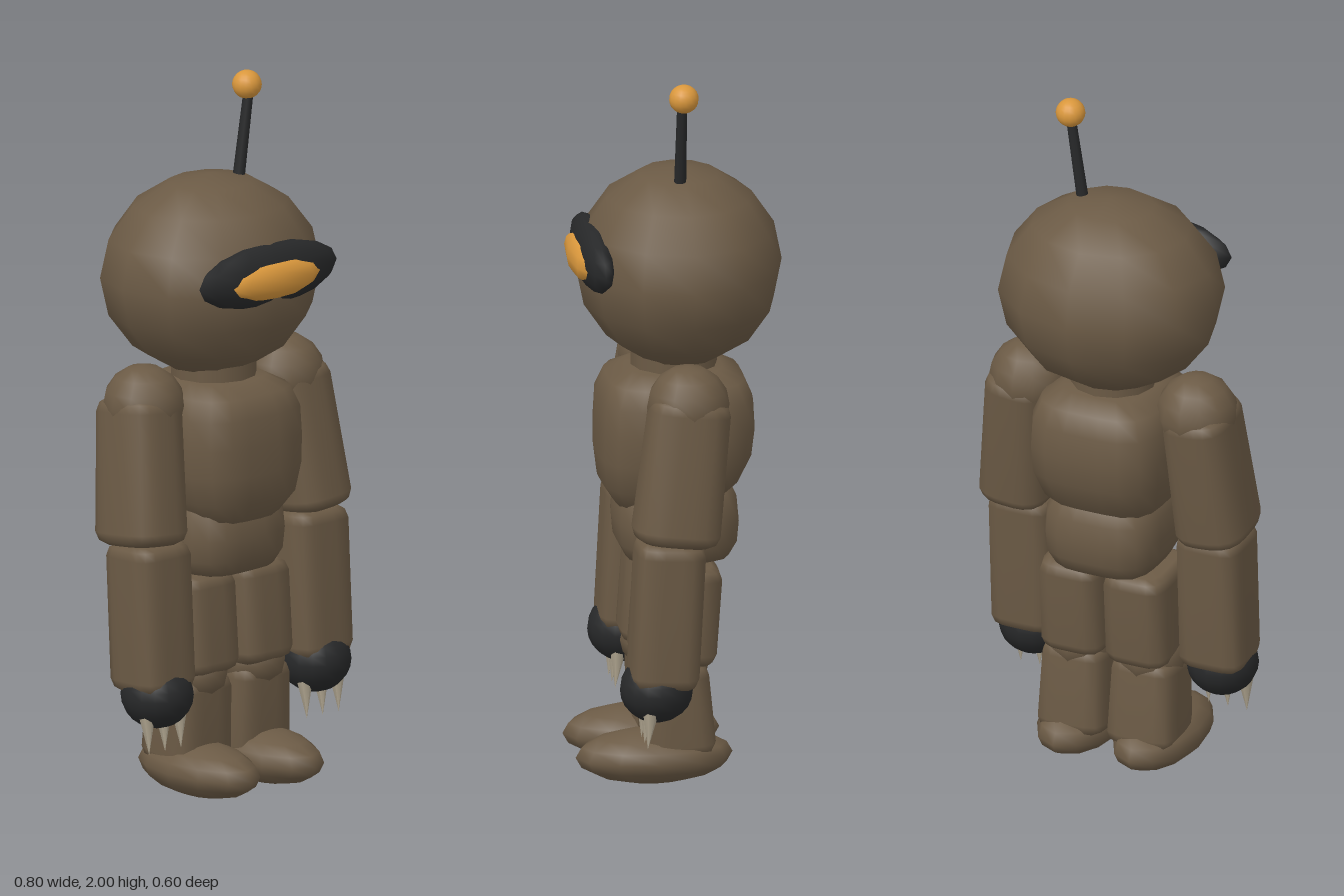
import * as THREE from 'three';
import { mergeVertices } from 'three/addons/utils/BufferGeometryUtils.js';

const mat = (name, color) => {
  const m = new THREE.MeshStandardMaterial({ color });
  m.name = name;
  return m;
};

// Turned profile whose round plan is squared off: power 2 is round, higher is boxier
function block(points, power, rx, rz, lean = () => 0) {
  const lathe = new THREE.LatheGeometry(points.map(([r, y]) => new THREE.Vector2(r, y)), 24);
  lathe.deleteAttribute('uv');
  lathe.deleteAttribute('normal');
  const p = lathe.attributes.position;
  for (let i = 0; i < p.count; i++) {
    const x = p.getX(i), y = p.getY(i), z = p.getZ(i);
    const a = Math.atan2(z, x);
    const f = (Math.abs(Math.cos(a)) ** power + Math.abs(Math.sin(a)) ** power) ** (-1 / power);
    p.setXYZ(i, x * f * rx, y, z * f * rz + lean(y));
  }
  const geometry = mergeVertices(lathe);
  geometry.computeVertexNormals();
  return geometry;
}

export function createModel() {
  const brown = mat('brown suit', 0x6b5a45);
  const black = mat('black rubber', 0x272829);
  const amber = mat('amber light', 0xd9973c);
  const bone = mat('bone claw', 0xb5aa94);
  const model = new THREE.Group();
  model.name = 'robot';

  const add = (name, geometry, material, x, y, z) => {
    const mesh = new THREE.Mesh(geometry, material);
    mesh.name = name;
    mesh.position.set(x, y, z);
    model.add(mesh);
    return mesh;
  };

  // Coarse smooth ellipsoid with its own radii
  const ellipsoid = (name, material, [x, y, z], [rx, ry, rz], sides = 12, rows = 8) =>
    add(name, new THREE.SphereGeometry(1, sides, rows).scale(rx, ry, rz), material, x, y, z);

  // Soft-edged limb running from top a to bottom b
  const limb = (name, a, b, rx, rz, power, topScale = 1) => {
    const top = new THREE.Vector3(...a), bottom = new THREE.Vector3(...b);
    const h = top.distanceTo(bottom) / 2, t = topScale;
    const geometry = block([[0, -h], [0.75, -h], [0.92, -h + 0.011], [1, -h + 0.035],
      [t, h - 0.035], [0.92 * t, h - 0.011], [0.75 * t, h], [0, h]], power, rx, rz);
    const mid = top.clone().add(bottom).multiplyScalar(0.5);
    const mesh = add(name, geometry, brown, mid.x, mid.y, mid.z);
    mesh.quaternion.setFromUnitVectors(new THREE.Vector3(0, 1, 0), top.sub(bottom).normalize());
  };

  // Head, visor and its light
  ellipsoid('head', brown, [0, 1.45, -0.014], [0.32, 0.28, 0.286]);
  ellipsoid('visor', black, [0, 1.49, 0.227], [0.25, 0.09, 0.052]);
  ellipsoid('visorLight', amber, [0, 1.483, 0.26], [0.165, 0.054, 0.037], 8, 6);

  // Antenna
  const stalk = add('antennaStalk', new THREE.CylinderGeometry(0.014, 0.017, 0.25, 8), black, 0.111, 1.82, -0.003);
  stalk.rotation.z = -0.15;
  ellipsoid('antennaBall', amber, [0.128, 1.96, -0.008], [0.041, 0.04, 0.041], 16, 12);

  // Neck
  add('neck', new THREE.CylinderGeometry(0.12, 0.12, 0.12, 12), brown, 0, 1.18, 0);

  // Chest, its lower end leaning forward, and belly
  add('chest', block([[0, 0.71], [0.2, 0.715], [0.4, 0.735], [0.66, 0.785], [0.87, 0.84], [0.98, 0.92],
    [1, 1], [0.98, 1.08], [0.87, 1.135], [0.6, 1.165], [0, 1.17]], 3.8, 0.199, 0.214,
    y => Math.max(0, 0.95 - y) * 0.18), brown, 0, 0, 0);
  add('belly', block([[0, 0.61], [0.6, 0.612], [0.84, 0.628], [0.97, 0.67], [1, 0.73],
    [0.97, 0.79], [0.84, 0.835], [0.6, 0.855], [0, 0.86]], 3.6, 0.168, 0.17), brown, 0, 0, -0.002);

  // Arms and legs, mirrored
  for (const s of [1, -1]) {
    const side = s > 0 ? 'left' : 'right';

    ellipsoid(side + 'Shoulder', brown, [s * 0.255, 1.118, 0], [0.115, 0.115, 0.115]);
    limb(side + 'UpperArm', [s * 0.268, 1.14, -0.005], [s * 0.302, 0.74, 0.045], 0.103, 0.121, 3.2, 0.93);
    limb(side + 'Forearm', [s * 0.287, 0.745, 0.055], [s * 0.287, 0.33, 0.077], 0.095, 0.094, 5);
    ellipsoid(side + 'Hand', black, [s * 0.287, 0.32, 0.093], [0.1, 0.094, 0.102], 16, 12);
    for (const k of [-1, 0, 1]) {
      const claw = add(side + 'Claw', new THREE.ConeGeometry(0.023, 0.11, 6), bone,
        s * 0.287 + k * 0.058, 0.218, 0.122);
      claw.rotation.x = Math.PI - 0.08;
    }

    limb(side + 'Thigh', [s * 0.098, 0.622, 0.003], [s * 0.098, 0.34, 0.023], 0.094, 0.118, 5);
    ellipsoid(side + 'Knee', brown, [s * 0.105, 0.34, 0.025], [0.1, 0.09, 0.108]);
    limb(side + 'Shin', [s * 0.106, 0.34, 0.022], [s * 0.106, 0.08, 0.005], 0.1, 0.1, 5, 0.94);
    ellipsoid(side + 'Foot', brown, [s * 0.116, 0.076, 0.073], [0.116, 0.076, 0.218]);
  }
  return model;
}
